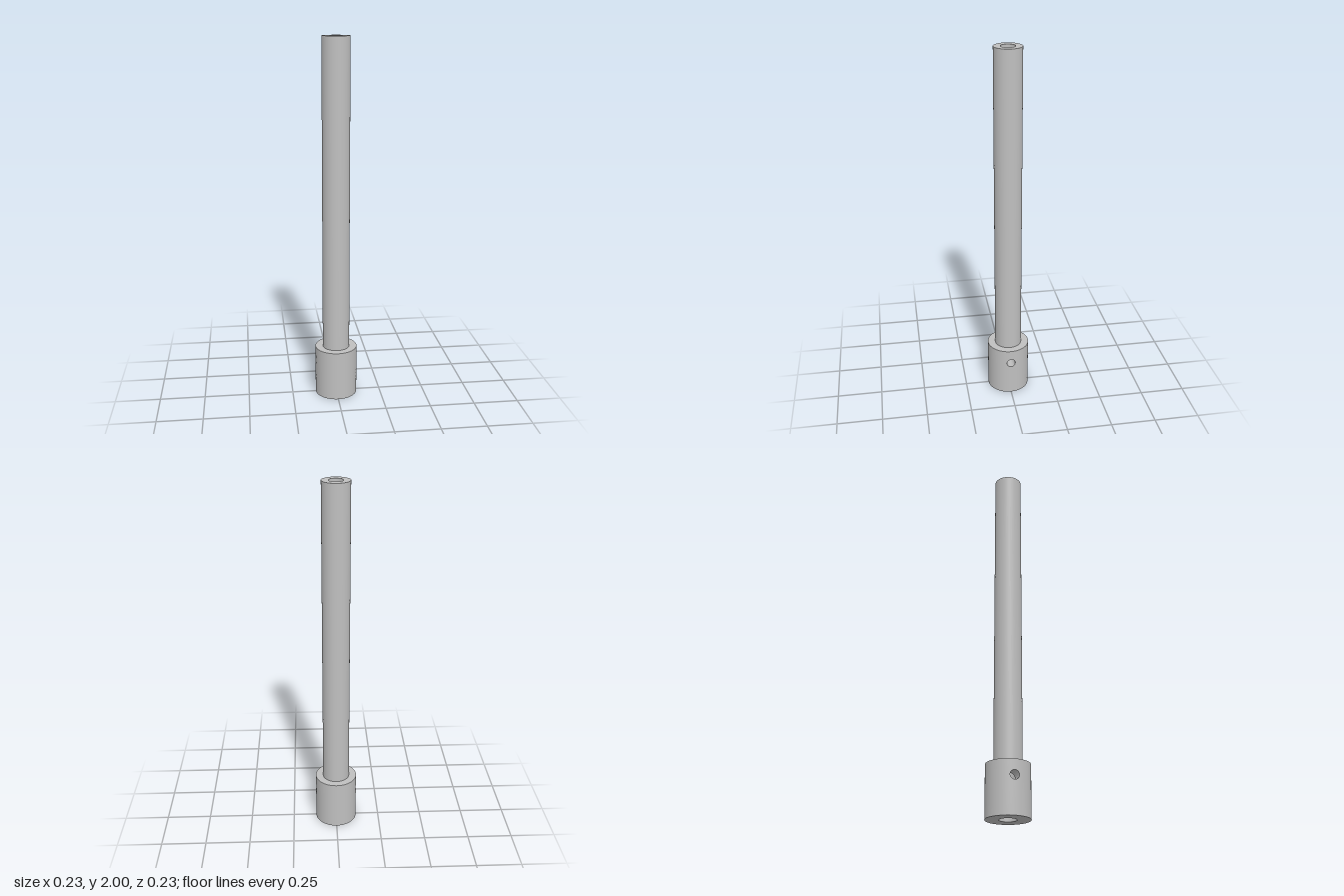
import * as THREE from 'three';

const COLLAR_R = 0.117, COLLAR_H = 0.28, ROD_R = 0.075, BORE_R = 0.038, SOCKET_R = 0.046;
const HOLE_R = 0.024, HOLE_Y = 0.2, TOP = 2;

// Smooth grid surface: fn(u, v) returns { p, n }; triangles are wound to face n
function surface(fn, nu, nv) {
  const pos = [], nor = [], idx = [];
  for (let j = 0; j <= nv; j++) {
    for (let i = 0; i <= nu; i++) {
      const { p, n } = fn(i / nu, j / nv);
      pos.push(...p.toArray());
      nor.push(...n.toArray());
    }
  }
  const at = (a, k) => new THREE.Vector3().fromArray(a, k * 3);
  const tri = (a, b, c) => {
    const face = at(pos, b).sub(at(pos, a)).cross(at(pos, c).sub(at(pos, a)));
    if (face.dot(at(nor, a)) >= 0) idx.push(a, b, c);
    else idx.push(a, c, b);
  };
  for (let j = 0; j < nv; j++) {
    for (let i = 0; i < nu; i++) {
      const a = j * (nu + 1) + i, b = a + nu + 1;
      tri(a, a + 1, b);
      tri(a + 1, b + 1, b);
    }
  }
  const g = new THREE.BufferGeometry();
  g.setAttribute('position', new THREE.Float32BufferAttribute(pos, 3));
  g.setAttribute('normal', new THREE.Float32BufferAttribute(nor, 3));
  g.setIndex(idx);
  return g;
}

// Half of a cylinder wall with a round cross hole; facing is 1 outward, -1 inward
function drilledHalfWall(radius, facing) {
  const w = Math.PI / 2;
  const corners = [[-w, 0], [w, 0], [w, COLLAR_H], [-w, COLLAR_H]];
  return surface((u, v) => {
    const side = Math.min(3, Math.floor(u * 4 + 1e-9)), t = u * 4 - side;
    const a = corners[side], b = corners[(side + 1) % 4];
    const edgeAngle = a[0] + (b[0] - a[0]) * t, edgeY = a[1] + (b[1] - a[1]) * t;
    const phi = Math.atan2(edgeY - HOLE_Y, edgeAngle * radius);
    const holeAngle = Math.asin(HOLE_R * Math.cos(phi) / radius);
    const holeY = HOLE_Y + HOLE_R * Math.sin(phi);
    const angle = holeAngle + (edgeAngle - holeAngle) * v;
    const dir = new THREE.Vector3(Math.cos(angle), 0, Math.sin(angle));
    const p = dir.clone().multiplyScalar(radius).setY(holeY + (edgeY - holeY) * v);
    return { p, n: dir.multiplyScalar(facing) };
  }, 128, 10);
}

// Wall of the cross hole, trimmed to both cylinders
function holeWall() {
  return surface((u, v) => {
    const phi = u * Math.PI * 2;
    const z = HOLE_R * Math.cos(phi), y = HOLE_R * Math.sin(phi);
    const inner = Math.sqrt(SOCKET_R ** 2 - z * z), outer = Math.sqrt(COLLAR_R ** 2 - z * z);
    return {
      p: new THREE.Vector3(inner + (outer - inner) * v, HOLE_Y + y, z),
      n: new THREE.Vector3(0, -Math.sin(phi), -Math.cos(phi)),
    };
  }, 48, 1);
}

export function createModel() {
  const steel = new THREE.MeshStandardMaterial({ color: 0xbfbfbf });
  steel.name = 'steelGrey';
  const model = new THREE.Group();
  model.name = 'tubeWithCollar';
  const rod = new THREE.Group();
  rod.name = 'rod';
  const collar = new THREE.Group();
  collar.name = 'collar';
  model.add(rod, collar);

  const add = (parent, name, geometry) => {
    const mesh = new THREE.Mesh(geometry, steel);
    mesh.name = name;
    parent.add(mesh);
    return mesh;
  };
  // One straight profile edge turned round the axis, so corners stay sharp
  const turned = (parent, name, r0, y0, r1, y1) => add(parent, name,
    new THREE.LatheGeometry([new THREE.Vector2(r0, y0), new THREE.Vector2(r1, y1)], 96));

  // Long hollow rod
  turned(rod, 'rodOuterWall', ROD_R, COLLAR_H, ROD_R, TOP);
  turned(rod, 'rodTopRim', ROD_R, TOP, BORE_R, TOP);
  turned(rod, 'rodBore', BORE_R, TOP, BORE_R, COLLAR_H);

  // Collar end faces and the step at the end of its socket
  turned(collar, 'collarShoulder', COLLAR_R, COLLAR_H, ROD_R, COLLAR_H);
  turned(collar, 'collarBottom', SOCKET_R, 0, COLLAR_R, 0);
  turned(collar, 'socketStep', BORE_R, COLLAR_H, SOCKET_R, COLLAR_H);

  // Collar walls with a cross hole on each side
  const outer = drilledHalfWall(COLLAR_R, 1);
  const inner = drilledHalfWall(SOCKET_R, -1);
  const tunnel = holeWall();
  for (const [side, turn] of [['left', 0], ['right', Math.PI]]) {
    add(collar, side + 'CollarWall', outer).rotation.y = turn;
    add(collar, side + 'SocketWall', inner).rotation.y = turn;
    add(collar, side + 'CrossHole', tunnel).rotation.y = turn;
  }
  return model;
}
